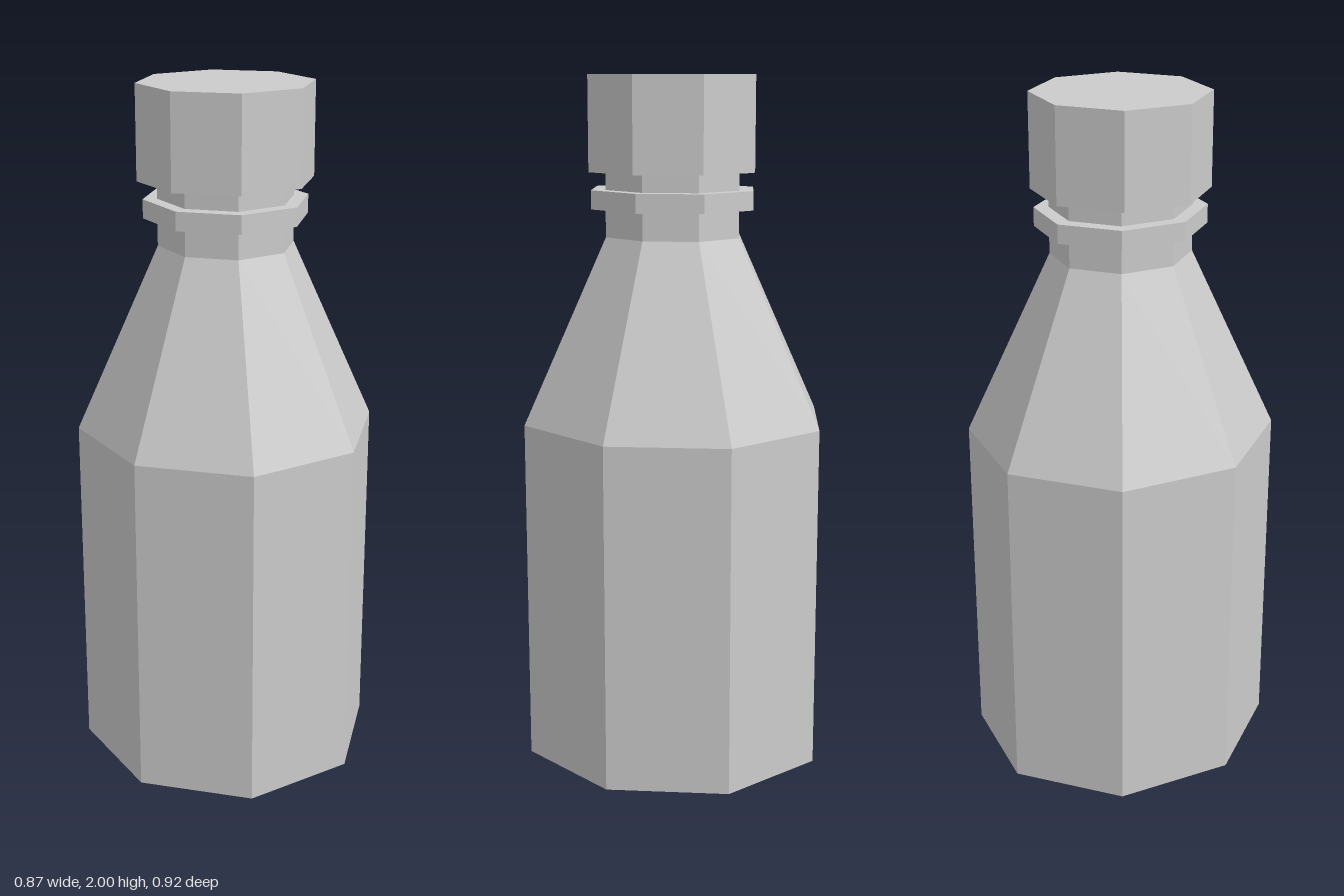
import * as THREE from 'three';

const SIDES = 8;
const DEPTH = 1.058; // the bottle is slightly deeper than it is wide

export function createModel() {
  const group = new THREE.Group();
  group.name = 'bottle';
  const material = new THREE.MeshStandardMaterial({ color: 0xcccccc, flatShading: true });

  function add(name, geometry, y = 0, depth = 1) {
    const mesh = new THREE.Mesh(geometry, material);
    mesh.name = name;
    mesh.position.y = y;
    mesh.scale.z = depth;
    group.add(mesh);
  }

  // Base, straight body, sloping shoulder and neck in one profile
  const profile = [[0, 0], [0.437, 0], [0.437, 1.01], [0.196, 1.545], [0.196, 1.74], [0, 1.74]]
    .map(([r, y]) => new THREE.Vector2(r, y));
  add('body', new THREE.LatheGeometry(profile, SIDES), 0, DEPTH);

  // Thin collar around the neck
  add('neckRing', new THREE.CylinderGeometry(0.237, 0.237, 0.054, SIDES), 1.652, DEPTH);

  // Cap, equally wide and deep
  add('cap', new THREE.CylinderGeometry(0.253, 0.253, 0.27, SIDES), 1.865);

  return group;
}
